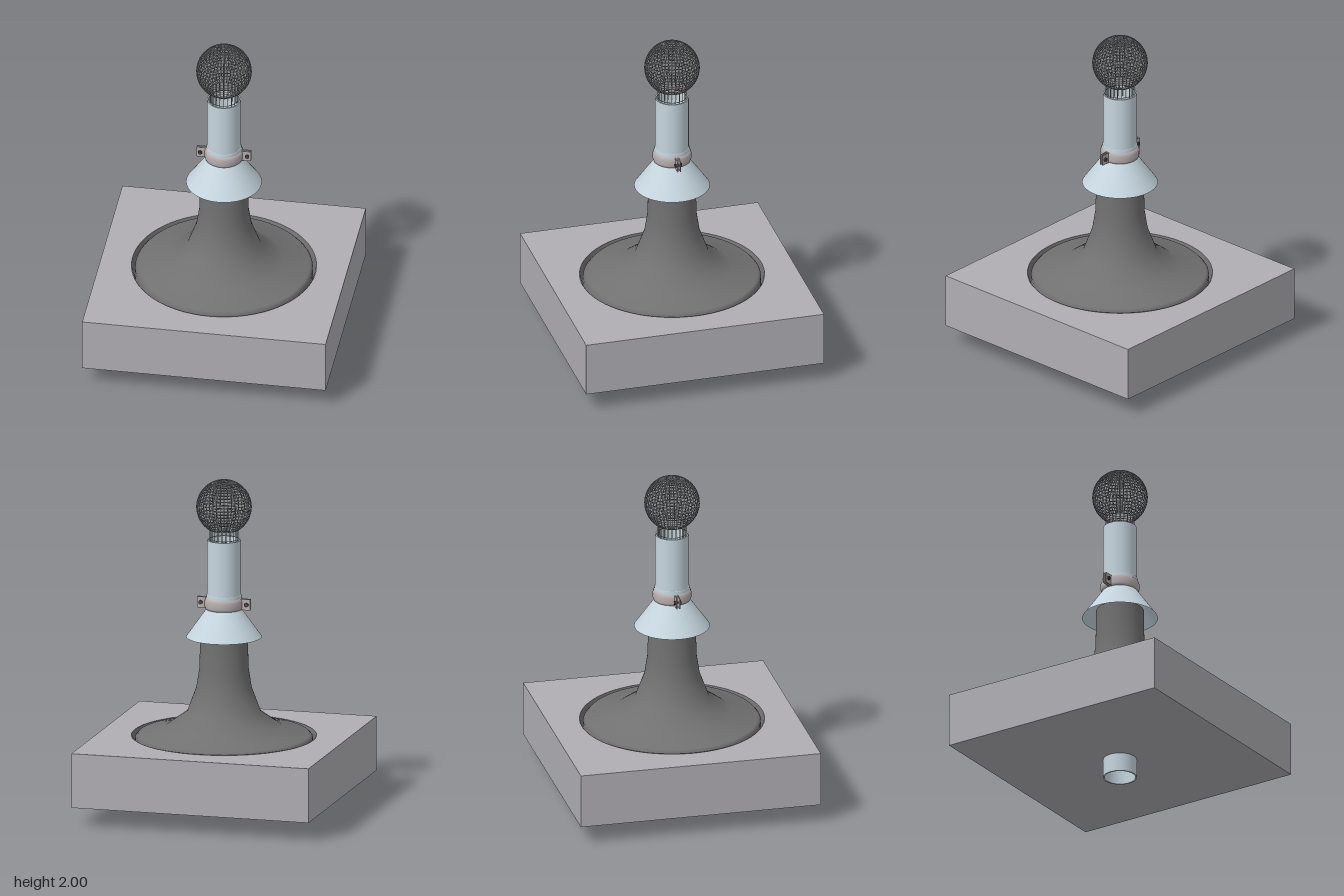
import * as THREE from 'three';
import { mergeGeometries } from 'three/addons/utils/BufferGeometryUtils.js';

const mat = (name, color, side = THREE.FrontSide) => {
  const m = new THREE.MeshStandardMaterial({ color, side });
  m.name = name;
  return m;
};

export function createModel() {
  const model = new THREE.Group();
  const concrete = mat('concrete grey', 0xb0aeb3);
  const rubber = mat('membrane grey', 0x717171, THREE.DoubleSide);
  const pipeBlue = mat('pale blue plastic', 0xc5d5de, THREE.DoubleSide);
  const steel = mat('clamp steel', 0xb8aeae, THREE.DoubleSide);
  const boltDark = mat('bolt dark grey', 0x4c4c50);
  const wireGrey = mat('wire grey', 0x9a9a9a);

  const add = (name, geometry, material, parent = model) => {
    const mesh = new THREE.Mesh(geometry, material);
    mesh.name = name;
    parent.add(mesh);
    return mesh;
  };
  const lathe = (pts, segments = 64) =>
    new THREE.LatheGeometry(pts.map(([r, y]) => new THREE.Vector2(r, y)), segments);

  // Square roof layers, each with a round hole
  const slab = (name, y0, y1, hole) => {
    const h = 0.733;
    const s = new THREE.Shape([[-h, -h], [h, -h], [h, h], [-h, h]].map(p => new THREE.Vector2(...p)));
    s.holes.push(new THREE.Path().absarc(0, 0, hole, 0, Math.PI * 2, true));
    const g = new THREE.ExtrudeGeometry(s, { depth: y1 - y0, bevelEnabled: false, curveSegments: 64 });
    g.rotateX(-Math.PI / 2);
    g.translate(0, y0, 0);
    add(name, g, concrete);
  };
  slab('roofSlab', 0.115, 0.375, 0.1);
  slab('roofTopLayer', 0.375, 0.445, 0.55);

  // Flared flashing sleeve, and the sloping rim of its recess
  add('flashingSleeve', lathe([
    [0.53, 0.376], [0.528, 0.435], [0.51, 0.454], [0.35, 0.494], [0.22, 0.587],
    [0.165, 0.735], [0.147, 0.85], [0.142, 1.0], [0.142, 1.09],
  ]), rubber);
  add('flashingRim', lathe([[0.528, 0.376], [0.549, 0.446]]), rubber);

  // Vent pipe, open from end to end
  add('ventPipeOuter', lathe([[0.1, 0], [0.1, 1.635]], 48), pipeBlue);
  add('ventPipeInner', lathe([[0.092, 1.635], [0.092, 0]], 48), pipeBlue);
  for (const y of [0, 1.635]) {
    add('ventPipeLip', lathe([[0.092, y], [0.1, y]], 48), pipeBlue);
  }

  // Rain hood
  add('hoodCone', lathe([[0.225, 1.045], [0.104, 1.215]]), pipeBlue);
  add('hoodCuff', lathe([[0.104, 1.215], [0.104, 1.3], [0.099, 1.302]]), pipeBlue);

  // Clamp band with a bolted ear on either side
  const clamp = new THREE.Group();
  clamp.name = 'clamp';
  model.add(clamp);
  add('clampBand', lathe([
    [0.103, 1.212], [0.11, 1.217], [0.115, 1.23], [0.115, 1.262], [0.11, 1.278], [0.103, 1.283],
  ]), steel, clamp);
  for (const side of [-1, 1]) {
    for (const z of [-0.008, 0.008]) {
      const ear = add('clampEar', new THREE.BoxGeometry(0.057, 0.066, 0.006), steel, clamp);
      ear.position.set(side * 0.136, 1.248, z);
    }
    const bolt = add('clampBolt', new THREE.CylinderGeometry(0.006, 0.006, 0.044, 12), boltDark, clamp);
    bolt.rotation.x = Math.PI / 2;
    bolt.position.set(side * 0.142, 1.248, 0);
    for (const z of [-0.016, 0.016]) {
      const nut = add('clampNut', new THREE.CylinderGeometry(0.013, 0.013, 0.009, 6), boltDark, clamp);
      nut.rotation.x = Math.PI / 2;
      nut.position.set(side * 0.142, 1.248, z);
    }
  }

  // Wire balloon guard: rings and meridians on a sphere, with a neck
  const R = 0.163, cy = 1.835, neck = 0.085, wire = 0.0022;
  const end = Math.PI - Math.asin(neck / R);
  const wires = [];
  const ring = (r, y) => {
    const g = new THREE.TorusGeometry(r, wire, 4, 56);
    g.rotateX(Math.PI / 2);
    g.translate(0, y, 0);
    wires.push(g);
  };
  const rings = 22;
  for (let i = 1; i <= rings; i++) {
    const a = (end * i) / rings;
    ring(R * Math.sin(a), cy + R * Math.cos(a));
  }
  ring(neck, 1.64);
  const meridians = 44;
  for (let i = 0; i < meridians; i++) {
    const turn = (i / meridians) * Math.PI * 2;
    // Only every fourth wire runs on to the crown
    const start = i % 4 === 0 ? 0 : 0.28;
    const g = new THREE.TorusGeometry(R, wire, 4, 28, end - start);
    g.rotateZ(Math.PI / 2 - end);
    g.translate(0, cy, 0);
    g.rotateY(turn);
    wires.push(g);
    if (i % 2 === 0) {
      const leg = new THREE.CylinderGeometry(wire, wire, 0.125, 4);
      leg.translate(neck, 1.6345, 0);
      leg.rotateY(turn);
      wires.push(leg);
    }
  }
  add('wireGuard', mergeGeometries(wires), wireGrey);

  return model;
}
